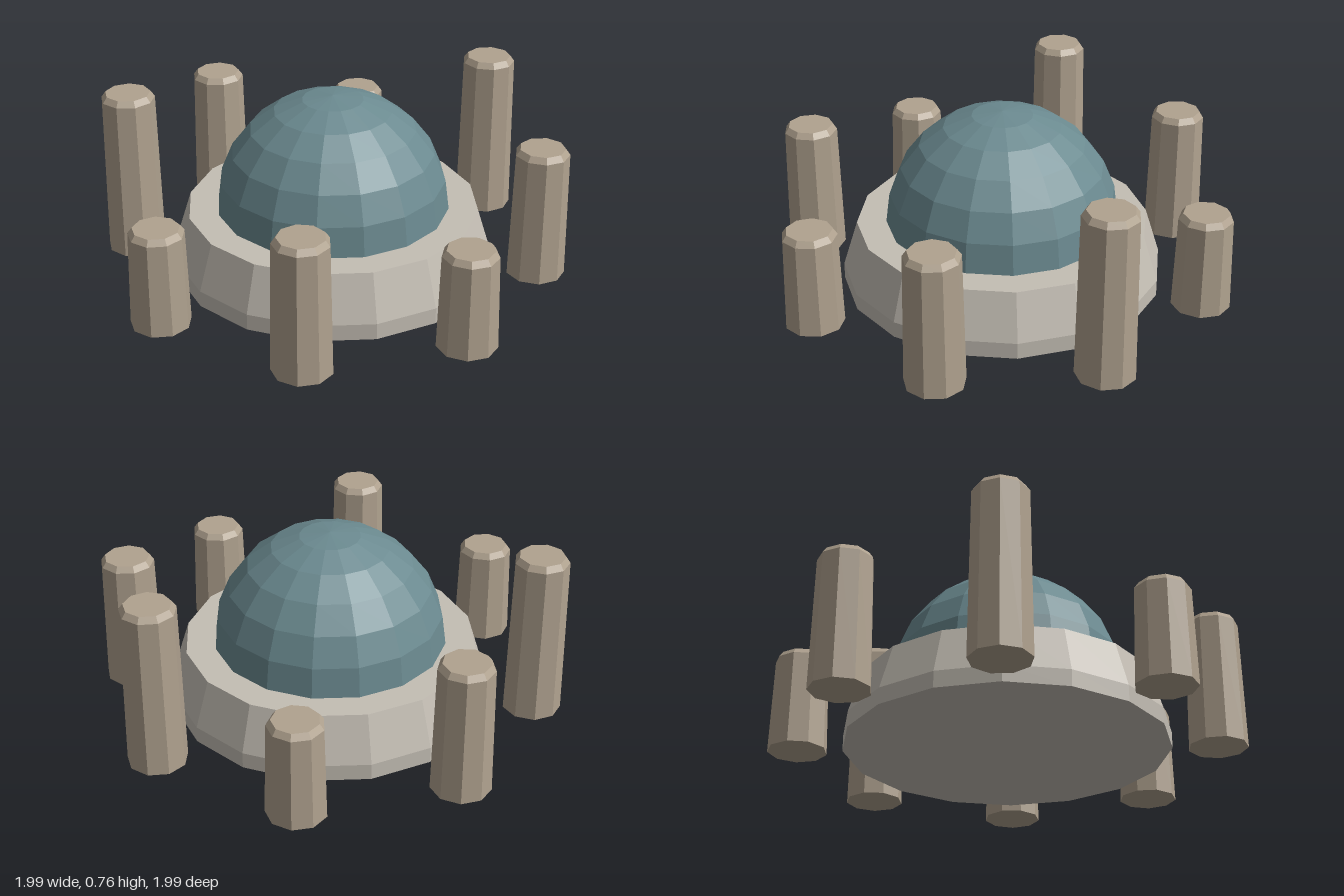
import * as THREE from 'three';

const material = (color) => new THREE.MeshStandardMaterial({ color, flatShading: true });

// Faceted solid of revolution from [radius, height] pairs, bottom to top
function turned(name, profile, sides, mat) {
  const points = profile.map(([r, y]) => new THREE.Vector2(r, y));
  const geometry = new THREE.LatheGeometry(points, sides).toNonIndexed();
  geometry.computeVertexNormals();
  const mesh = new THREE.Mesh(geometry, mat);
  mesh.name = name;
  return mesh;
}

export function createModel() {
  const model = new THREE.Group();
  model.name = 'domeWithPillars';

  const stone = material(0xc4beb4);
  const glass = material(0x6b8a90);
  const pillarStone = material(0xb0a28f);

  // Round plinth: upright foot, sloping wall, flat top
  model.add(turned('plinth', [[0, 0], [0.683, 0], [0.683, 0.07], [0.62, 0.27], [0, 0.27]], 16, stone));

  // Hemispherical dome
  const dome = new THREE.Mesh(
    new THREE.SphereGeometry(0.495, 16, 6, 0, Math.PI * 2, 0, Math.PI / 2), glass);
  dome.name = 'dome';
  dome.position.y = 0.27;
  model.add(dome);

  // Ring of tapered pillars with bevelled tops, in three repeating heights
  const heights = [0.43, 0.58, 0.725];
  for (let i = 0; i < 8; i++) {
    const angle = (i * Math.PI) / 4;
    const h = heights[i % 3];
    const pillar = turned('pillar' + (i + 1),
      [[0, 0], [0.125, 0], [0.114, h - 0.025], [0.096, h], [0, h]], 9, pillarStone);
    pillar.position.set(Math.cos(angle) * 0.872, 0, -Math.sin(angle) * 0.872);
    pillar.rotation.y = angle + Math.PI / 2;
    model.add(pillar);
  }

  return model;
}
